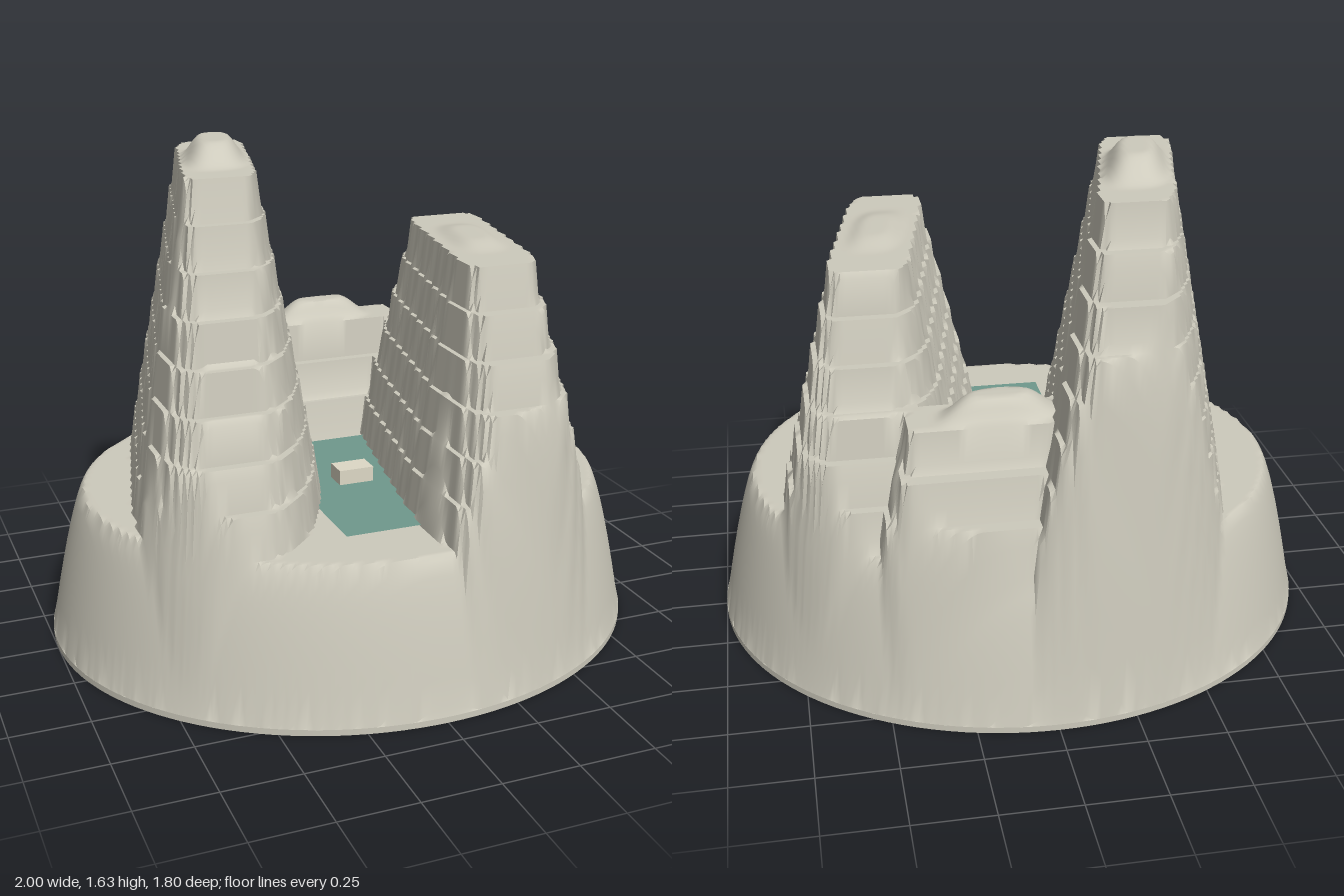
import * as THREE from 'three';
import { toCreasedNormals } from 'three/addons/utils/BufferGeometryUtils.js';

const DEPTH = 0.9;    // ellipse radius in z (radius in x is 1)
const GROUND = 0.5;
const STEP = 0.1325;  // terrace height

// x, z: centre; lean: sideways shift along z; hw, hl: half size of the top;
// du, front, back: growth per terrace; dome, dw, dl: size of the crown
const ridges = [
  { x: -0.362, z: -0.2, lean: 0.24, hw: 0.123, hl: 0.37, du: 0.026, front: 0.063, back: 0.073, levels: 8, dome: 0.07, dw: 0.115, dl: 0.25 },
  { x: 0.423, z: 0.11, lean: 0.18, hw: 0.132, hl: 0.4, du: 0.031, front: 0.082, back: 0.06, levels: 6, dome: 0.02, dw: 0.1, dl: 0.24 },
  { x: 0.122, z: -0.51, lean: 0.24, hw: 0.3, hl: 0.09, du: 0.03, front: 0.052, back: 0.085, levels: 3, dome: 0.07, dw: 0.2, dl: 0.09 },
];

function ridgeHeight(r, x, z) {
  const round = 1.8;
  const v = z - r.z;
  const u = x - r.x + r.lean * v;
  const a = (Math.abs(u) - r.hw) / r.du + round;
  const b = (Math.abs(v) - r.hl) / (v > 0 ? r.front : r.back) + round;
  const d = Math.hypot(Math.max(a, 0), Math.max(b, 0)) - round;
  const top = GROUND + r.levels * STEP;
  if (d <= 0) {
    // soft crown with a squarish outline
    const q = Math.cbrt(Math.abs(u / r.dw) ** 3 + Math.abs(v / r.dl) ** 3);
    return top + r.dome * THREE.MathUtils.smoothstep((1 - q) * 1.6, 0, 1);
  }
  // steep riser followed by a flat tread
  const n = Math.floor(d);
  return top - STEP * (n + Math.min(1, (d - n) / 0.25));
}

function landHeight(x, z) {
  const e = Math.hypot(x, z / DEPTH);
  const h = Math.max(GROUND, ...ridges.map((r) => ridgeHeight(r, x, z)));
  const t = THREE.MathUtils.clamp((e - 0.875) / 0.122, 0, 1);
  return 0.02 + (h - 0.02) * (1 - Math.pow(t, 1.4));
}

// Height field on a square grid, whose coarseness flutes the leaning walls;
// outer points are pulled in to the rim
function landGeometry() {
  const nx = 124, nz = 112;
  const pos = [], outside = [], index = [];
  for (let j = 0; j <= nz; j++) {
    for (let i = 0; i <= nx; i++) {
      let z = DEPTH * 1.01 * (2 * j / nz - 1);
      let x = 1.01 * (2 * i / nx - 1);
      const e = Math.hypot(x, z / DEPTH);
      outside.push(e >= 1);
      if (e > 1) { x /= e; z /= e; }
      pos.push(x, landHeight(x, z), z);
    }
  }
  for (let j = 0; j < nz; j++) {
    for (let i = 0; i < nx; i++) {
      const a = j * (nx + 1) + i, b = a + nx + 1;
      for (const tri of [[a, b, a + 1], [b, b + 1, a + 1]]) {
        if (!tri.every((k) => outside[k])) index.push(...tri);
      }
    }
  }
  const g = new THREE.BufferGeometry();
  g.setAttribute('position', new THREE.Float32BufferAttribute(pos, 3));
  g.setIndex(index);
  return toCreasedNormals(g, 0.8);
}

export function createModel() {
  const group = new THREE.Group();
  const stone = new THREE.MeshStandardMaterial({ color: 0xcdcabc, side: THREE.DoubleSide });
  const add = (name, geometry, material, x, y, z) => {
    const mesh = new THREE.Mesh(geometry, material);
    mesh.name = name;
    mesh.position.set(x, y, z);
    group.add(mesh);
  };

  // Terraced land and its thin base plate
  add('terracedLand', landGeometry(), stone, 0, 0, 0);
  const plate = new THREE.CylinderGeometry(1, 1, 0.02, 128).scale(1, 1, DEPTH);
  add('basePlate', plate, stone, 0, 0.01, 0);

  // Water on the valley floor; its sides run into the ridges
  const water = new THREE.PlaneGeometry(0.4, 0.83).rotateX(-Math.PI / 2);
  add('water', water, new THREE.MeshStandardMaterial({ color: 0x6f998d, side: THREE.DoubleSide }), 0, 0.506, 0.155);

  // Small block standing in the water
  add('block', new THREE.BoxGeometry(0.12, 0.06, 0.08), new THREE.MeshStandardMaterial({ color: 0xded9c6 }), -0.005, 0.526, 0.13);

  return group;
}
